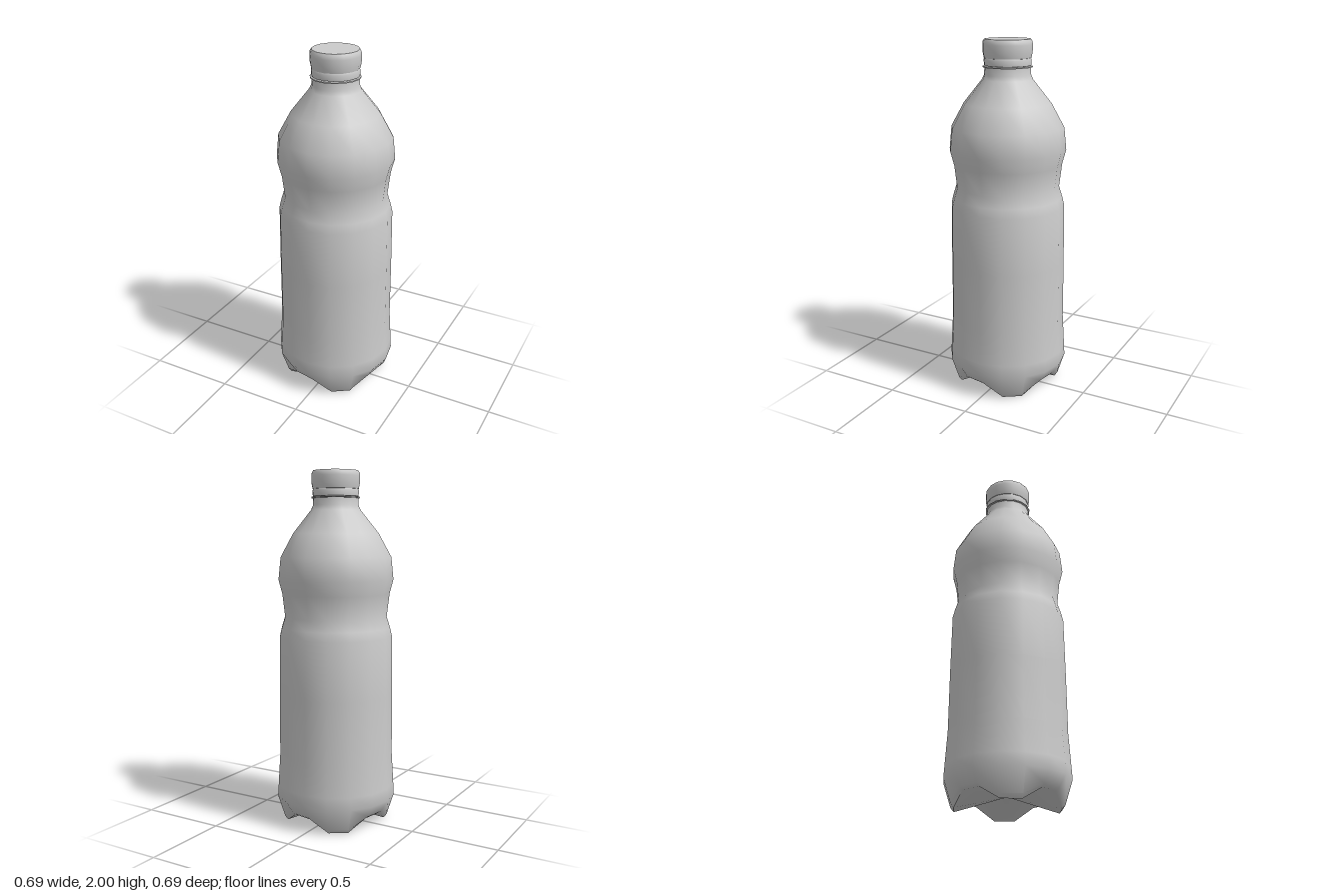
import * as THREE from 'three';
import { toCreasedNormals } from 'three/addons/utils/BufferGeometryUtils.js';

const SIDES = 16;
const material = new THREE.MeshStandardMaterial({ color: 0xcccccc, side: THREE.DoubleSide });

// Sixteen-sided turned part from [radius, height] pairs, listed bottom to top
function turned(profile) {
  return new THREE.LatheGeometry(profile.map(([r, y]) => new THREE.Vector2(r, y)), SIDES);
}

function part(name, geometry, crease) {
  const mesh = new THREE.Mesh(toCreasedNormals(geometry, crease), material);
  mesh.name = name;
  return mesh;
}

// Body from the underside centre to the neck, with four feet pressed into the base
function bodyGeometry() {
  const profile = [
    [0, 0.07], [0.285, 0], [0.303, 0.022], [0.344, 0.15], [0.34, 0.22],
    [0.329, 0.4], [0.327, 0.75], [0.323, 1.08], [0.311, 1.13], [0.292, 1.19],
    [0.307, 1.32], [0.328, 1.4], [0.315, 1.525], [0.243, 1.656],
    [0.14, 1.785], [0.129, 1.81], [0.127, 1.853],
  ];
  const geometry = turned(profile);
  const pos = geometry.attributes.position;
  // Of every four vertices round the base, two stand on a foot and two are raised
  for (let i = 0; i <= SIDES; i++) {
    if (i % 4 === 1 || i % 4 === 2) continue;
    for (const [ring, lift] of [[1, 0.068], [2, 0.06]]) {
      const v = i * profile.length + ring;
      pos.setY(v, pos.getY(v) + lift);
    }
  }
  return geometry;
}

export function createModel() {
  const bottle = new THREE.Group();
  bottle.name = 'bottle';

  bottle.add(part('body', bodyGeometry(), 0.9));

  // Thin flange round the neck
  bottle.add(part('neckFlange', turned([
    [0.12, 1.849], [0.137, 1.85], [0.137, 1.856], [0.12, 1.858],
  ]), 0.7));

  // Tamper ring below the cap
  bottle.add(part('sealRing', turned([
    [0.12, 1.858], [0.129, 1.86], [0.131, 1.89], [0.127, 1.9],
  ]), 0.7));

  // Closed screw cap
  bottle.add(part('cap', turned([
    [0.12, 1.897], [0.13, 1.9], [0.136, 1.93], [0.137, 1.97], [0.135, 1.987], [0.127, 2], [0, 2],
  ]), 0.9));

  return bottle;
}
